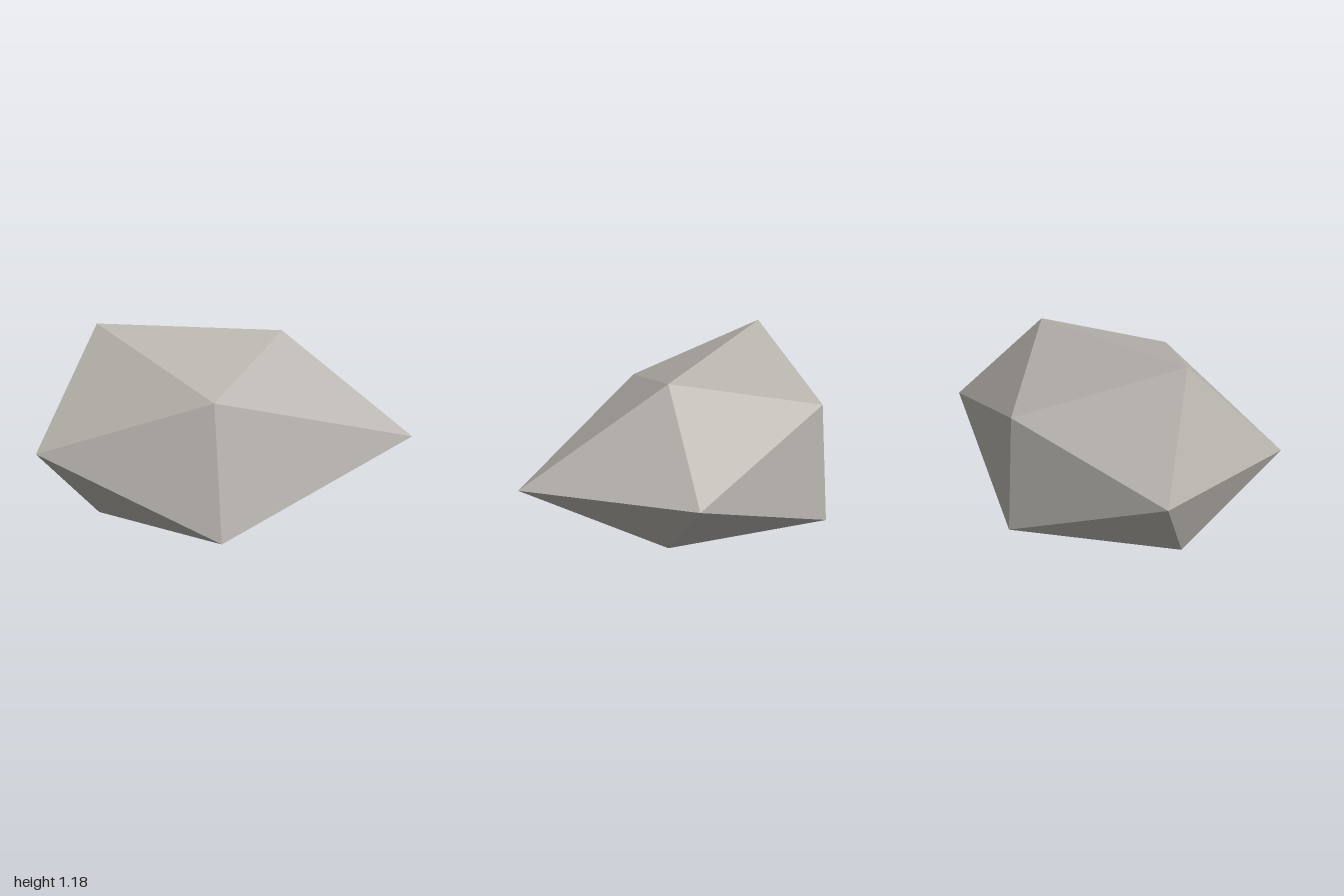
import * as THREE from 'three';

// Distance of each icosahedron corner from the core, keyed by the signs of its x, y, z
const REACH = {
  '-1,1,0': 1.067, '1,1,0': 0.905, '-1,-1,0': 1.183, '1,-1,0': 0.968,
  '0,1,1': 0.853, '0,-1,1': 1.228, '0,1,-1': 1.012, '0,-1,-1': 1.122,
  '1,0,1': 1.282, '1,0,-1': 0.96, '-1,0,1': 1.068, '-1,0,-1': 0.909,
};
const STRETCH = new THREE.Vector3(1, 0.614, 0.77);
const CORE = new THREE.Vector3(-0.091, 0.618, -0.033);

const side = (v) => (Math.abs(v) < 0.01 ? 0 : Math.sign(v));

export function createModel() {
  const stone = new THREE.MeshStandardMaterial({ color: 0xb7b3ad, flatShading: true });
  stone.name = 'stone grey';

  // Flattened boulder: an icosahedron with its corners pushed in and out
  const geometry = new THREE.IcosahedronGeometry(1, 0);
  const position = geometry.attributes.position;
  const p = new THREE.Vector3();
  for (let i = 0; i < position.count; i++) {
    p.fromBufferAttribute(position, i);
    const reach = REACH[[side(p.x), side(p.y), side(p.z)].join()];
    p.multiply(STRETCH).multiplyScalar(reach).add(CORE);
    position.setXYZ(i, p.x, p.y, p.z);
  }
  geometry.computeVertexNormals();

  const rock = new THREE.Mesh(geometry, stone);
  rock.name = 'rock';

  const model = new THREE.Group();
  model.name = 'boulder';
  model.add(rock);
  return model;
}
